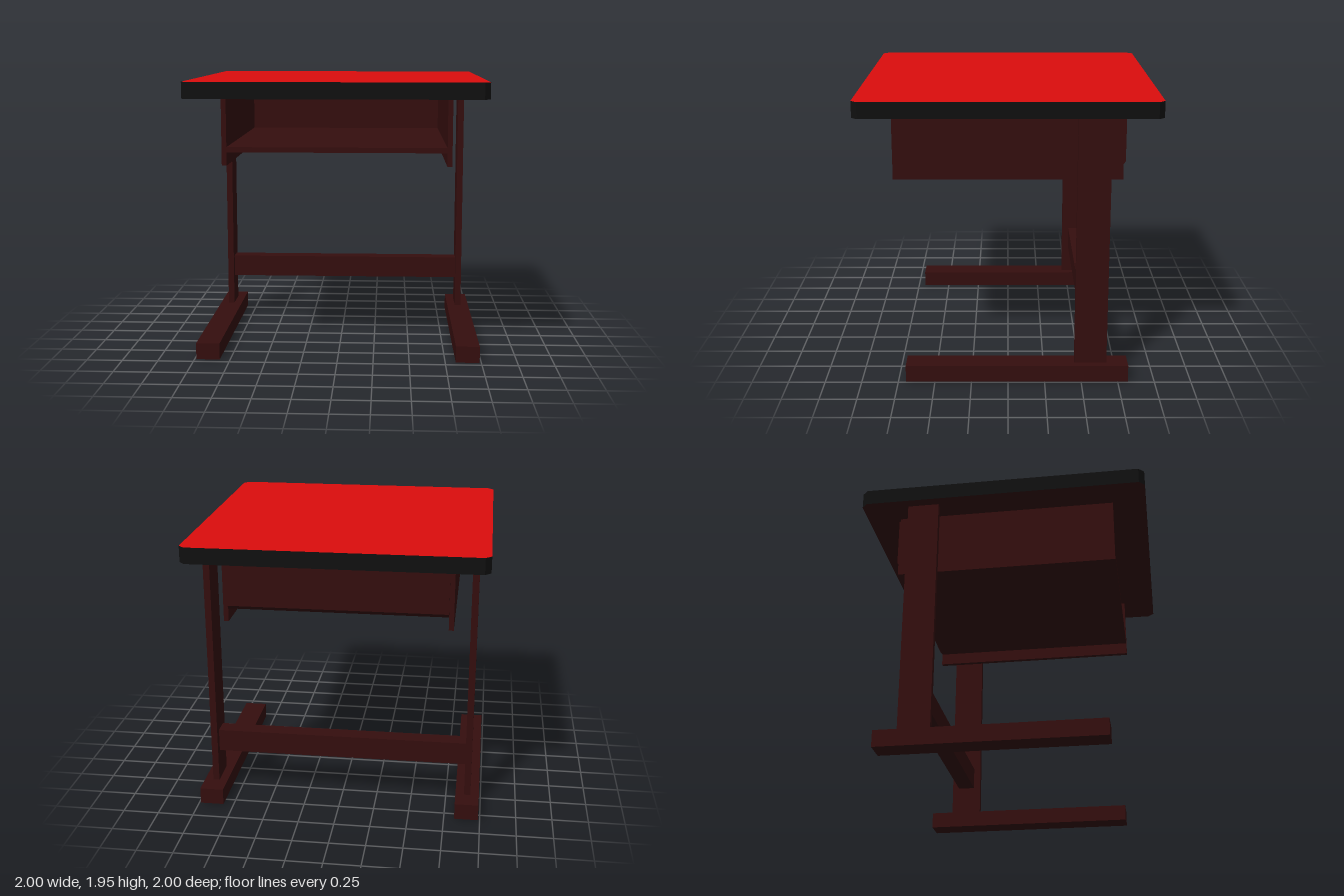
import * as THREE from 'three';

const brown = new THREE.MeshStandardMaterial({ color: 0x350e0e });
const black = new THREE.MeshStandardMaterial({ color: 0x101010 });
const red = new THREE.MeshStandardMaterial({ color: 0xdd0d0d });

// Box given by its min and max on each axis
function box(name, [x0, x1], [y0, y1], [z0, z1]) {
  const mesh = new THREE.Mesh(new THREE.BoxGeometry(x1 - x0, y1 - y0, z1 - z0), brown);
  mesh.position.set((x0 + x1) / 2, (y0 + y1) / 2, (z0 + z1) / 2);
  mesh.name = name;
  return mesh;
}

const polygon = (points) => new THREE.Shape(points.map(([x, y]) => new THREE.Vector2(x, y)));

// Horizontal slab with clipped corners: coloured faces, black edge
function slab(name, y0, y1, faceMaterial) {
  const c = 0.96;
  const outline = polygon([[1, -c], [1, c], [c, 1], [-c, 1], [-1, c], [-1, -c], [-c, -1], [c, -1]]);
  const geometry = new THREE.ExtrudeGeometry(outline, { depth: y1 - y0, bevelEnabled: false });
  geometry.rotateX(-Math.PI / 2).translate(0, y0, 0);
  const mesh = new THREE.Mesh(geometry, [faceMaterial, black]);
  mesh.name = name;
  return mesh;
}

// Shelf and back of the tray as one bent sheet, profile drawn in (-z, y)
function trayShelf() {
  const profile = polygon([
    [-0.765, 1.465], [0.765, 1.465], [0.785, 1.49], [0.785, 1.835],
    [0.75, 1.835], [0.75, 1.5], [-0.765, 1.5],
  ]);
  const geometry = new THREE.ExtrudeGeometry(profile, { depth: 1.48, bevelEnabled: false });
  geometry.translate(0, 0, -0.74).rotateY(Math.PI / 2);
  const mesh = new THREE.Mesh(geometry, brown);
  mesh.name = 'trayShelfAndBack';
  return mesh;
}

export function createModel() {
  const desk = new THREE.Group();
  desk.name = 'desk';

  // Table top
  desk.add(slab('topSurface', 1.89, 1.945, red), slab('topUnderside', 1.835, 1.89, brown));

  // Open book tray
  desk.add(trayShelf());

  // Mirrored side parts
  for (const [side, s] of [['left', 1], ['right', -1]]) {
    const span = (a, b) => (s > 0 ? [a, b] : [-b, -a]);
    desk.add(
      box(side + 'TraySide', span(0.74, 0.773), [1.375, 1.835], [-0.768, 0.768]),
      box(side + 'Leg', span(0.883, 0.928), [0.115, 1.835], [-0.675, -0.455]),
      box(side + 'Foot', span(0.823, 0.988), [0, 0.115], [-0.82, 0.698]),
    );
  }

  // Stretcher between the legs
  desk.add(box('stretcher', [-0.883, 0.883], [0.33, 0.49], [-0.625, -0.505]));
  return desk;
}
